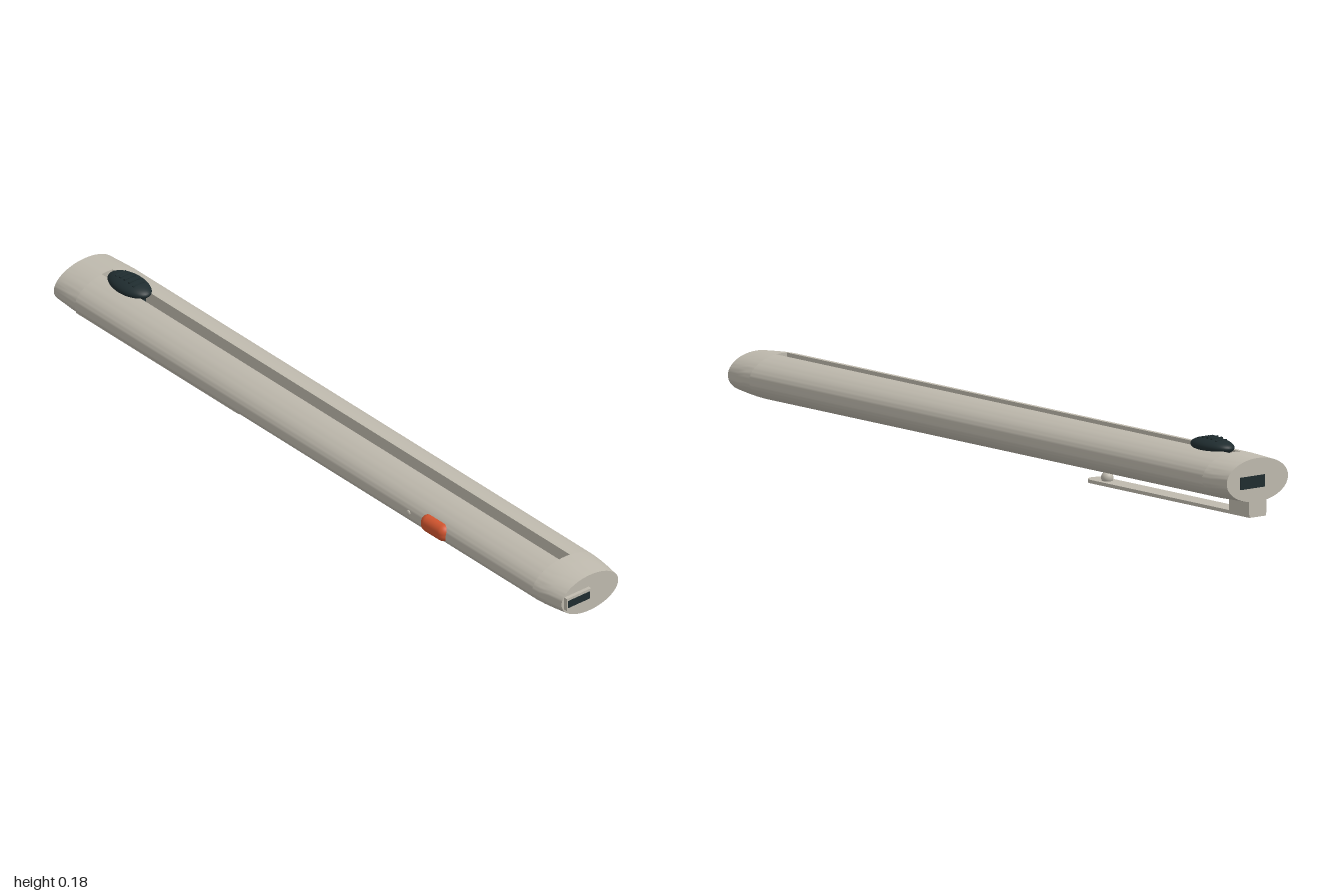
import * as THREE from 'three';
import { toCreasedNormals } from 'three/addons/utils/BufferGeometryUtils.js';
import { RoundedBoxGeometry } from 'three/addons/geometries/RoundedBoxGeometry.js';

const CY = 0.096, CZ = -0.005; // centre line of the barrel
const RY = 0.06, RZ = 0.108; // half height and half width of the oval section
const SLOT = { x0: -0.91, x1: 0.89, half: 0.018, floor: 0.008 };

export function createModel() {
  const model = new THREE.Group();
  const mat = (name, color) => Object.assign(new THREE.MeshStandardMaterial({ color }), { name });
  const shell = mat('warm grey shell', 0xbfbaae);
  const dark = mat('dark rubber', 0x1f2c2f);
  const orange = mat('orange button', 0xd2552f);

  const add = (name, geo, material, x = 0, y = 0, z = 0) => {
    const mesh = new THREE.Mesh(geo, material);
    mesh.name = name;
    mesh.position.set(x, y, z);
    model.add(mesh);
    return mesh;
  };
  const box = (name, material, x, y, z, w, h, d) =>
    add(name, new THREE.BoxGeometry(w, h, d), material, x, y, z);

  // Barrel: oval section with a slot cut into the top
  const a0 = Math.acos(SLOT.half / RZ);
  const pts = [];
  const N = 72;
  for (let i = 0; i <= N; i++) {
    const a = Math.PI - a0 + (i / N) * (Math.PI + 2 * a0);
    pts.push(new THREE.Vector2(RZ * Math.cos(a), RY * Math.sin(a)));
  }
  pts.push(new THREE.Vector2(SLOT.half, SLOT.floor), new THREE.Vector2(-SLOT.half, SLOT.floor));
  const barrel = new THREE.ExtrudeGeometry(new THREE.Shape(pts), { depth: SLOT.x1 - SLOT.x0, bevelEnabled: false });
  barrel.rotateY(Math.PI / 2);
  add('barrel', toCreasedNormals(barrel, 0.5), shell, SLOT.x0, CY, CZ);

  // Dark floor of the slot
  box('slotFloor', dark, (SLOT.x0 + SLOT.x1) / 2, CY + SLOT.floor + 0.003, CZ,
    SLOT.x1 - SLOT.x0 - 0.002, 0.006, 2 * SLOT.half - 0.001);

  // Tapered ends, turned as unit circles and squashed to the oval
  const endCap = (name, profile) => {
    const geo = new THREE.LatheGeometry(profile.map(([r, x]) => new THREE.Vector2(r, x)), 72);
    geo.rotateZ(-Math.PI / 2);
    geo.scale(1, RY, RZ);
    add(name, toCreasedNormals(geo, 0.5), shell, 0, CY, CZ);
  };
  endCap('tipCap', [[0, SLOT.x1], [1, SLOT.x1], [0.985, 0.915], [0.95, 0.945], [0.88, 0.99], [0, 0.99]]);
  endCap('tailCap', [[0, -1], [0.945, -1], [0.985, -0.94], [1, SLOT.x0], [0, SLOT.x0]]);

  // Ports in both ends
  box('tipPortFrame', shell, 0.99, 0.0975, 0.04, 0.02, 0.036, 0.082);
  box('tipPort', dark, 0.9985, 0.0975, 0.041, 0.005, 0.021, 0.073);
  box('tailPort', dark, -0.999, 0.092, -0.022, 0.005, 0.032, 0.082);

  // Sliding thumb button with grip ridges
  const thumb = new THREE.SphereGeometry(1, 40, 24);
  thumb.scale(0.073, 0.021, 0.041);
  add('thumbSlider', thumb, dark, -0.82, 0.16, -0.004);
  box('sliderStem', dark, -0.82, 0.135, CZ, 0.09, 0.05, 0.032);
  for (let i = -2; i <= 2; i++) {
    const top = 0.1835 - 0.0012 * i * i;
    box('gripRidge', dark, -0.82 + i * 0.017, top - 0.006, -0.004, 0.006, 0.012, 0.036);
  }

  // Side button and indicator
  add('sideButton', new RoundedBoxGeometry(0.098, 0.048, 0.05, 5, 0.021), orange, 0.502, 0.099, 0.09);
  const dot = new THREE.SphereGeometry(0.008, 16, 12);
  dot.scale(1, 1, 0.5);
  add('indicator', dot, shell, 0.402, 0.099, 0.102);

  // Pocket clip: mounting block, flat arm with a rounded tip, and gripping bead
  box('clipBlock', shell, -0.96, 0.03, -0.004, 0.08, 0.044, 0.058);
  const arm = new THREE.Shape();
  arm.moveTo(-1, -0.027);
  arm.lineTo(-0.367, -0.027);
  arm.absarc(-0.367, 0, 0.027, -Math.PI / 2, Math.PI / 2, false);
  arm.lineTo(-1, 0.027);
  arm.closePath();
  const armGeo = new THREE.ExtrudeGeometry(arm, { depth: 0.009, bevelEnabled: false, curveSegments: 16 });
  armGeo.rotateX(-Math.PI / 2);
  add('clipArm', toCreasedNormals(armGeo, 0.5), shell, 0, 0, -0.004);
  add('clipBead', new THREE.SphereGeometry(0.016, 24, 16), shell, -0.402, 0.017, -0.004);

  return model;
}
